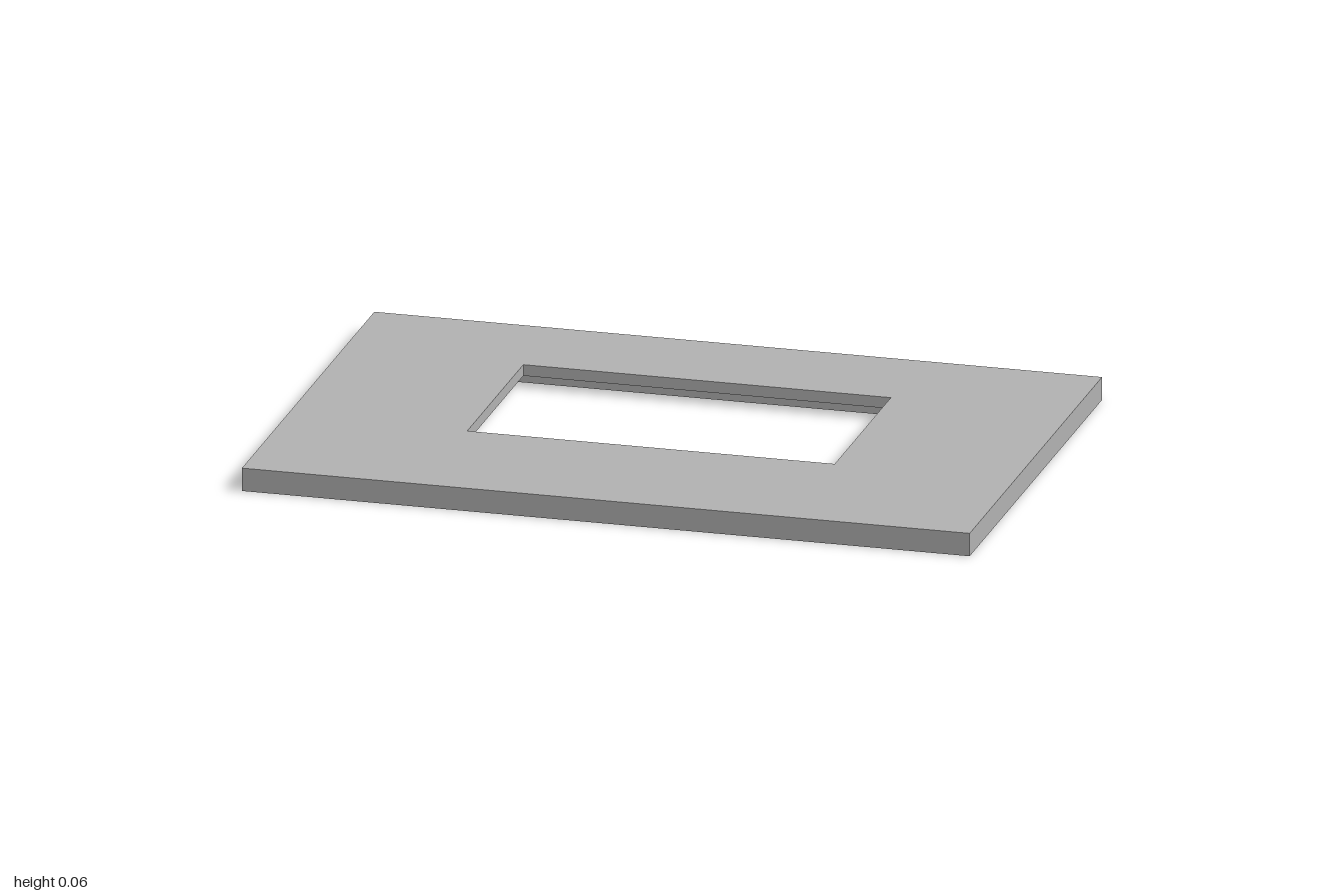
import * as THREE from 'three';

// Levels above the ground
const TOP = 0.064, RECESS = 0.033, NOTCH = 0.018, SCREW = 0.03;

const rect = (x0, z0, x1, z1) => [[x0, z0], [x1, z0], [x1, z1], [x0, z1]];
const circle = (cx, cz, r, n = 16) => Array.from({ length: n }, (_, i) => {
  const a = (i / n) * Math.PI * 2;
  return [cx + r * Math.cos(a), cz + r * Math.sin(a)];
});

// Horizontal face with holes at height y, facing up or down
function flat(outline, holes, y, up = false) {
  const s = up ? -1 : 1;
  const vec = (pts) => pts.map(([x, z]) => new THREE.Vector2(x, z * s));
  const shape = new THREE.Shape(vec(outline));
  shape.holes = holes.map((h) => new THREE.Path(vec(h)));
  return new THREE.ShapeGeometry(shape).rotateX((s * Math.PI) / 2).translate(0, y, 0);
}

// Vertical walls along a closed loop, facing outward or inward
function walls(loop, y0, y1, inward = false) {
  const pts = inward ? [...loop].reverse() : loop;
  const pos = [];
  pts.forEach(([ax, az], i) => {
    const [bx, bz] = pts[(i + 1) % pts.length];
    pos.push(ax, y0, az, ax, y1, az, bx, y0, bz);
    pos.push(bx, y0, bz, ax, y1, az, bx, y1, bz);
  });
  const g = new THREE.BufferGeometry();
  g.setAttribute('position', new THREE.Float32BufferAttribute(pos, 3));
  g.computeVertexNormals();
  return g;
}

export function createModel() {
  const group = new THREE.Group();
  group.name = 'framePanel';
  const grey = new THREE.MeshStandardMaterial({ color: 0xb2b2b2 });
  grey.name = 'grey';
  const add = (name, geometry) => {
    const mesh = new THREE.Mesh(geometry, grey);
    mesh.name = name;
    group.add(mesh);
  };

  const outer = rect(-1, -0.66, 1, 0.66);
  const opening = rect(-0.505, -0.35, 0.505, 0.21);
  const notch = rect(-0.168, 0.436, 0.168, 0.615);
  // Recess behind the opening, with the notch corners on its front edge
  const recess = [[-0.555, -0.39], [0.555, -0.39], [0.555, 0.436],
    [0.168, 0.436], [-0.168, 0.436], [-0.555, 0.436]];
  const cutout = [...recess.slice(0, 4), [0.168, 0.615], [-0.168, 0.615], ...recess.slice(4)];
  const screws = [];
  for (const side of [-1, 1]) {
    screws.push(circle(side * 0.79, 0.346, 0.012), circle(side * 0.297, -0.487, 0.012));
  }

  // Panel body
  add('topFace', flat(outer, [opening], TOP, true));
  add('outerSides', walls(outer, 0, TOP));
  add('bottomFace', flat(outer, [cutout, ...screws], 0));

  // Window opening and the stepped recess underneath
  add('openingSides', walls(opening, RECESS, TOP, true));
  add('recessFloor', flat(recess, [opening], RECESS));
  add('recessUpperSides', walls(recess, NOTCH, RECESS, true));
  add('recessLowerSides', walls(cutout, 0, NOTCH, true));
  add('notchFloor', flat(notch, [], NOTCH));

  // Blind screw holes
  for (const loop of screws) {
    add('screwHoleSides', walls(loop, 0, SCREW, true));
    add('screwHoleEnd', flat(loop, [], SCREW));
  }
  return group;
}
